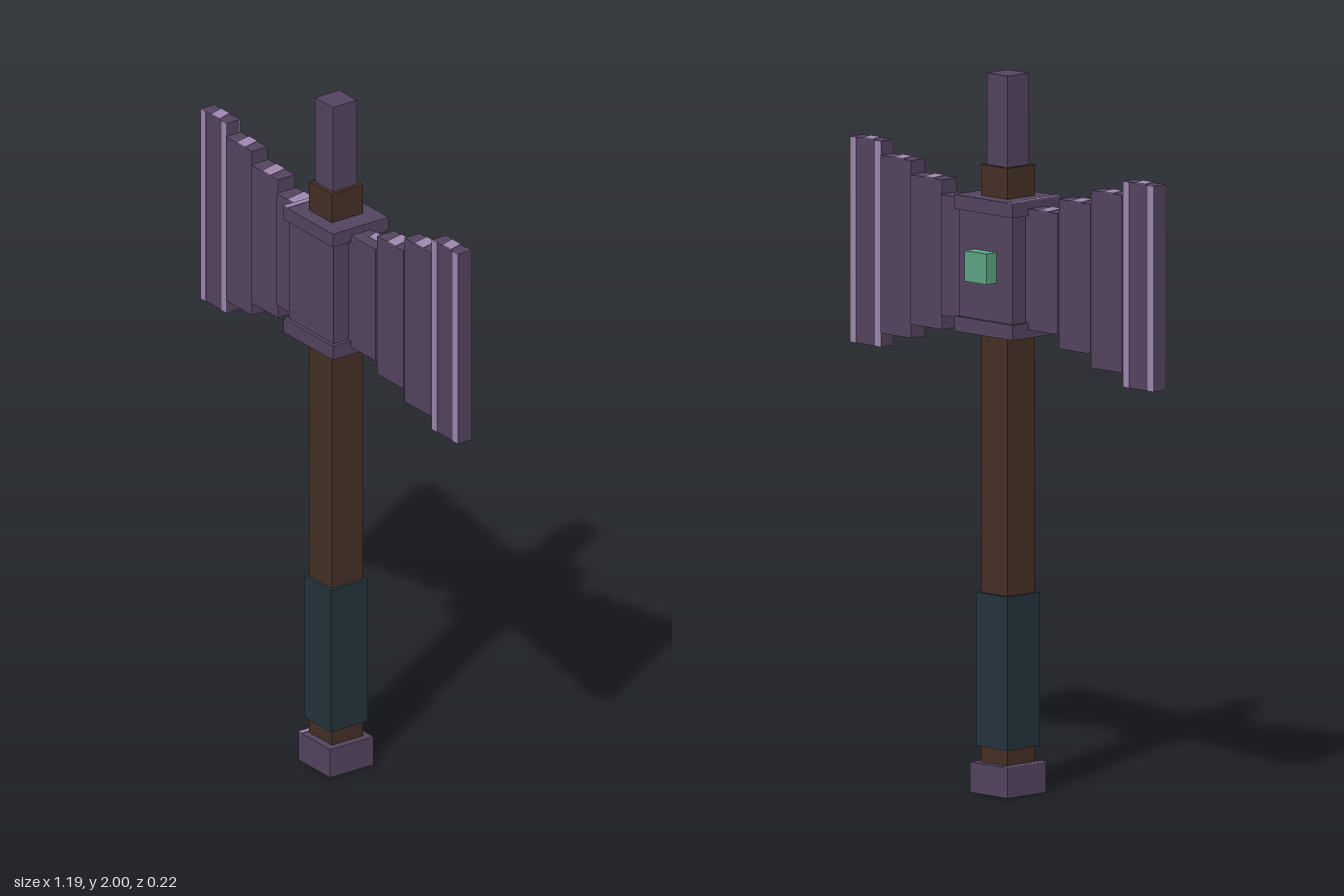
import * as THREE from 'three';

const mat = (name, color) => {
  const m = new THREE.MeshStandardMaterial({ color });
  m.name = name;
  return m;
};

export function createModel() {
  const metal = mat('purple metal', 0x54445f);
  const edge = mat('lilac highlight', 0x9f88b0);
  const wood = mat('dark wood', 0x453026);
  const wrap = mat('grip wrap', 0x25333c);
  const gem = mat('green gem', 0x5da382);

  const model = new THREE.Group();
  model.name = 'doubleAxe';

  // All main parts share one axis, slightly forward of the origin
  const axis = new THREE.Group();
  axis.name = 'axeBody';
  axis.position.set(-0.002, 0, 0.012);
  model.add(axis);

  const box = (name, material, w, d, y0, y1, x = 0, z = 0) => {
    const mesh = new THREE.Mesh(new THREE.BoxGeometry(w, y1 - y0, d), material);
    mesh.name = name;
    mesh.position.set(x, (y0 + y1) / 2, z);
    axis.add(mesh);
    return mesh;
  };

  // Thin slanted highlight lying on a top face
  const fleck = (name, x, y, z0, z1) => {
    const mesh = box(name, edge, 0.04, z1 - z0, y, y + 0.002, x, (z0 + z1) / 2);
    const p = mesh.geometry.attributes.position;
    for (let i = 0; i < p.count; i++) p.setX(i, p.getX(i) + (p.getZ(i) > 0 ? 0.007 : -0.007));
    mesh.geometry.computeVertexNormals();
  };

  // Handle
  box('pommel', metal, 0.147, 0.147, 0, 0.085);
  box('pommelHighlight', edge, 0.015, 0.147, 0.085, 0.087, -0.066);
  box('shaft', wood, 0.105, 0.105, 0.085, 1.746);
  box('grip', wrap, 0.125, 0.125, 0.13, 0.557);
  box('topSpike', metal, 0.082, 0.082, 1.746, 2);

  // Central socket with a cap at each end and a gem on the back
  box('socket', metal, 0.208, 0.168, 1.31, 1.63);
  box('lowerCap', metal, 0.23, 0.19, 1.28, 1.322);
  box('upperCap', metal, 0.23, 0.19, 1.62, 1.66);
  box('capHighlight', edge, 0.018, 0.19, 1.66, 1.662, -0.106);
  box('gem', gem, 0.086, 0.05, 1.43, 1.515, 0.001, -0.099);

  // Blade steps: inner x, outer x, half height, thickness
  const steps = [
    [0.09, 0.23, 0.168, 0.067],
    [0.23, 0.354, 0.208, 0.059],
    [0.354, 0.476, 0.247, 0.052],
    [0.476, 0.597, 0.286, 0.044],
  ];
  const midY = 1.471;
  for (const side of [-1, 1]) {
    const label = side > 0 ? 'left' : 'right';
    steps.forEach(([x0, x1, h, t], i) => {
      box(`${label}BladeStep${i + 1}`, metal, x1 - x0, t, midY - h, midY + h, side * (x0 + x1) / 2);
      const short = side > 0 && i === 0;
      fleck(`${label}TopHighlight${i + 1}`, side * (0.167 + i * 0.123), midY + h, -t / 2, short ? 0 : t / 2);
    });
    // Bright vertical bands on both faces of the outer step
    for (const face of [-1, 1]) {
      for (const x of [0.488, 0.585]) {
        box(`${label}EdgeBand`, edge, 0.024, 0.002, midY - 0.286, midY + 0.286, side * x, face * 0.0225);
      }
    }
  }
  return model;
}
